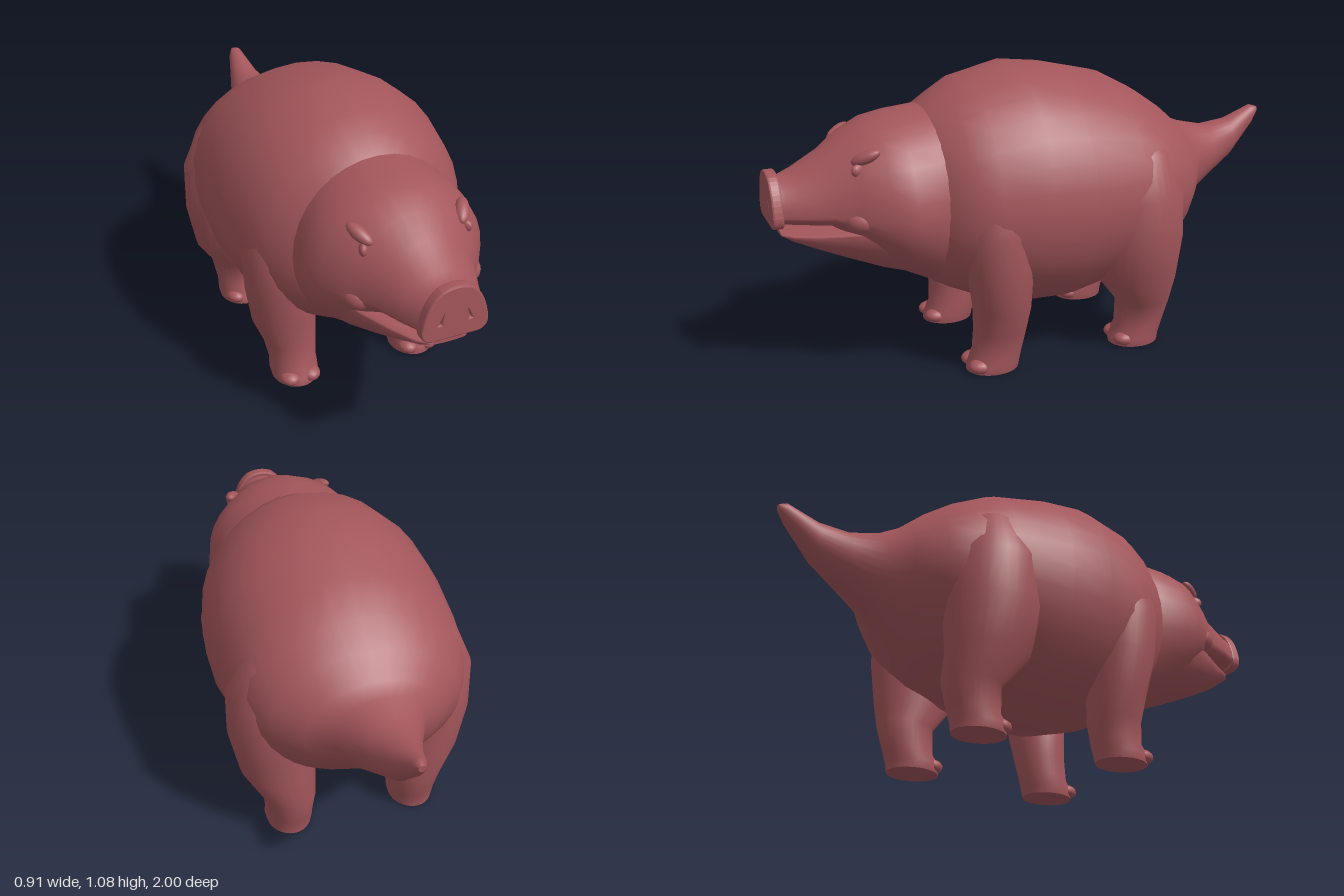
import * as THREE from 'three';

const SIDES = 32;

// Skins a list of closed rings; each end gets its own flat cap.
function loft(rings) {
  const pos = [], idx = [];
  rings.forEach(r => r.forEach(p => pos.push(...p)));
  for (let i = 0; i < rings.length - 1; i++) {
    for (let j = 0; j < SIDES; j++) {
      const a = i * SIDES + j, b = i * SIDES + (j + 1) % SIDES;
      idx.push(a, b, b + SIDES, a, b + SIDES, a + SIDES);
    }
  }
  const cap = (ring, flip) => {
    const start = pos.length / 3;
    const mid = [0, 1, 2].map(k => ring.reduce((s, p) => s + p[k], 0) / SIDES);
    ring.forEach(p => pos.push(...p));
    pos.push(...mid);
    for (let j = 0; j < SIDES; j++) {
      const a = start + j, b = start + (j + 1) % SIDES;
      idx.push(start + SIDES, flip ? b : a, flip ? a : b);
    }
  };
  cap(rings[0], true);
  cap(rings[rings.length - 1], false);
  const g = new THREE.BufferGeometry();
  g.setAttribute('position', new THREE.Float32BufferAttribute(pos, 3));
  g.setIndex(idx);
  g.computeVertexNormals();
  return g;
}

const ringOf = fn => Array.from({ length: SIDES }, (_, j) => fn(j / SIDES * Math.PI * 2));

// Sections along z: [z, top, widest height, bottom, half width]
const loftZ = sections => loft(sections.map(([z, top, mid, bot, w]) => ringOf(a => {
  const s = Math.sin(a);
  return [Math.cos(a) * w, mid + s * (s > 0 ? top - mid : mid - bot), z];
})));

// Sections along y: [y, centre x, centre z, radius x, radius z]
const loftY = (sections, side) => loft(sections.map(([y, cx, cz, rx, rz]) =>
  ringOf(a => [side * cx + Math.sin(a) * rx, y, cz + Math.cos(a) * rz])));

export function createModel() {
  const model = new THREE.Group();
  const skin = new THREE.MeshStandardMaterial({ color: 0xa3565b });
  skin.name = 'rose skin';

  const add = (name, geometry) => {
    const m = new THREE.Mesh(geometry, skin);
    m.name = name;
    model.add(m);
    return m;
  };
  const blob = (name, p, s, r = [0, 0, 0]) => {
    const m = add(name, new THREE.SphereGeometry(1, 16, 12));
    m.position.set(...p);
    m.scale.set(...s);
    m.rotation.set(...r);
  };

  // Barrel body tapering into the raised tail
  add('bodyAndTail', loftZ([
    [-1, 0.80, 0.79, 0.775, 0.012],
    [-0.97, 0.81, 0.77, 0.73, 0.03],
    [-0.86, 0.765, 0.69, 0.61, 0.065],
    [-0.75, 0.75, 0.65, 0.54, 0.105],
    [-0.64, 0.775, 0.63, 0.47, 0.16],
    [-0.58, 0.80, 0.62, 0.42, 0.25],
    [-0.5, 0.87, 0.61, 0.35, 0.345],
    [-0.4, 0.94, 0.61, 0.27, 0.405],
    [-0.27, 1.01, 0.61, 0.215, 0.435],
    [-0.06, 1.06, 0.61, 0.165, 0.455],
    [0.1, 1.08, 0.61, 0.17, 0.45],
    [0.28, 1.04, 0.60, 0.22, 0.415],
    [0.36, 0.995, 0.60, 0.255, 0.375],
    [0.44, 0.95, 0.60, 0.30, 0.31],
    [0.5, 0.88, 0.60, 0.36, 0.2],
  ]));

  // Head with wide jowls and narrowing muzzle
  add('head', loftZ([
    [0.3, 0.96, 0.62, 0.27, 0.28],
    [0.45, 0.95, 0.62, 0.305, 0.315],
    [0.55, 0.94, 0.62, 0.36, 0.325],
    [0.63, 0.925, 0.63, 0.41, 0.305],
    [0.72, 0.885, 0.63, 0.50, 0.245],
    [0.8, 0.825, 0.63, 0.57, 0.185],
    [0.9, 0.77, 0.63, 0.58, 0.145],
    [0.95, 0.75, 0.63, 0.585, 0.12],
    [0.975, 0.76, 0.63, 0.588, 0.112],
  ]));

  // Lower jaw, set back under the muzzle
  add('lowerJaw', loftZ([
    [0.5, 0.6, 0.56, 0.34, 0.28],
    [0.62, 0.6, 0.57, 0.38, 0.26],
    [0.75, 0.59, 0.56, 0.435, 0.2],
    [0.85, 0.575, 0.55, 0.48, 0.145],
    [0.93, 0.565, 0.55, 0.52, 0.1],
    [0.965, 0.56, 0.55, 0.545, 0.06],
  ]));

  // Snout plate with two slanted nostril openings
  const snout = new THREE.Shape();
  snout.moveTo(-0.08, 0.59);
  snout.lineTo(0.08, 0.59);
  snout.quadraticCurveTo(0.115, 0.595, 0.112, 0.63);
  snout.quadraticCurveTo(0.1, 0.72, 0.05, 0.755);
  snout.quadraticCurveTo(0, 0.778, -0.05, 0.755);
  snout.quadraticCurveTo(-0.1, 0.72, -0.112, 0.63);
  snout.quadraticCurveTo(-0.115, 0.595, -0.08, 0.59);
  for (const s of [-1, 1]) {
    const hole = new THREE.Path();
    hole.moveTo(s * 0.04, 0.69);
    hole.lineTo(s * 0.065, 0.64);
    hole.lineTo(s * 0.044, 0.638);
    hole.closePath();
    snout.holes.push(hole);
  }
  const snoutGeo = new THREE.ExtrudeGeometry(snout, {
    depth: 0.025, bevelThickness: 0.007, bevelSize: 0.006, bevelSegments: 2, curveSegments: 8,
  });
  add('snout', snoutGeo).position.z = 0.968;

  const frontLeg = [
    [0, 0.245, 0.265, 0.083, 0.098],
    [0.03, 0.245, 0.262, 0.09, 0.1],
    [0.07, 0.243, 0.245, 0.088, 0.093],
    [0.15, 0.25, 0.235, 0.098, 0.098],
    [0.25, 0.27, 0.235, 0.12, 0.105],
    [0.4, 0.295, 0.25, 0.122, 0.12],
    [0.55, 0.32, 0.255, 0.105, 0.12],
    [0.68, 0.33, 0.25, 0.07, 0.09],
    [0.76, 0.32, 0.24, 0.02, 0.03],
  ];
  const hindLeg = [
    [0, 0.245, -0.32, 0.083, 0.098],
    [0.03, 0.245, -0.32, 0.09, 0.1],
    [0.07, 0.245, -0.34, 0.086, 0.093],
    [0.17, 0.25, -0.355, 0.1, 0.105],
    [0.28, 0.28, -0.31, 0.14, 0.15],
    [0.45, 0.288, -0.3, 0.167, 0.175],
    [0.62, 0.3, -0.3, 0.153, 0.165],
    [0.77, 0.28, -0.3, 0.11, 0.12],
    [0.87, 0.25, -0.3, 0.03, 0.04],
  ];
  for (const s of [-1, 1]) {
    const side = s > 0 ? 'left' : 'right';
    add(side + 'FrontLeg', loftY(frontLeg, s));
    add(side + 'HindLeg', loftY(hindLeg, s));
    // Cloven toes
    for (const t of [-1, 1]) {
      const x = s * 0.245 + t * 0.04;
      blob(side + 'FrontToe', [x, 0.027, 0.325], [0.038, 0.027, 0.045]);
      blob(side + 'HindToe', [x, 0.027, -0.265], [0.038, 0.027, 0.045]);
    }
    // Small deep-set eye under a soft brow, and the cheek at the mouth corner
    blob(side + 'Eye', [s * 0.182, 0.79, 0.715], [0.016, 0.024, 0.03], [0, s * 0.5, 0]);
    blob(side + 'Brow', [s * 0.185, 0.832, 0.69], [0.025, 0.022, 0.055], [0.45, -s * 0.45, 0]);
    blob(side + 'Cheek', [s * 0.2, 0.615, 0.715], [0.05, 0.045, 0.06], [0, -s * 0.5, 0]);
  }
  return model;
}
